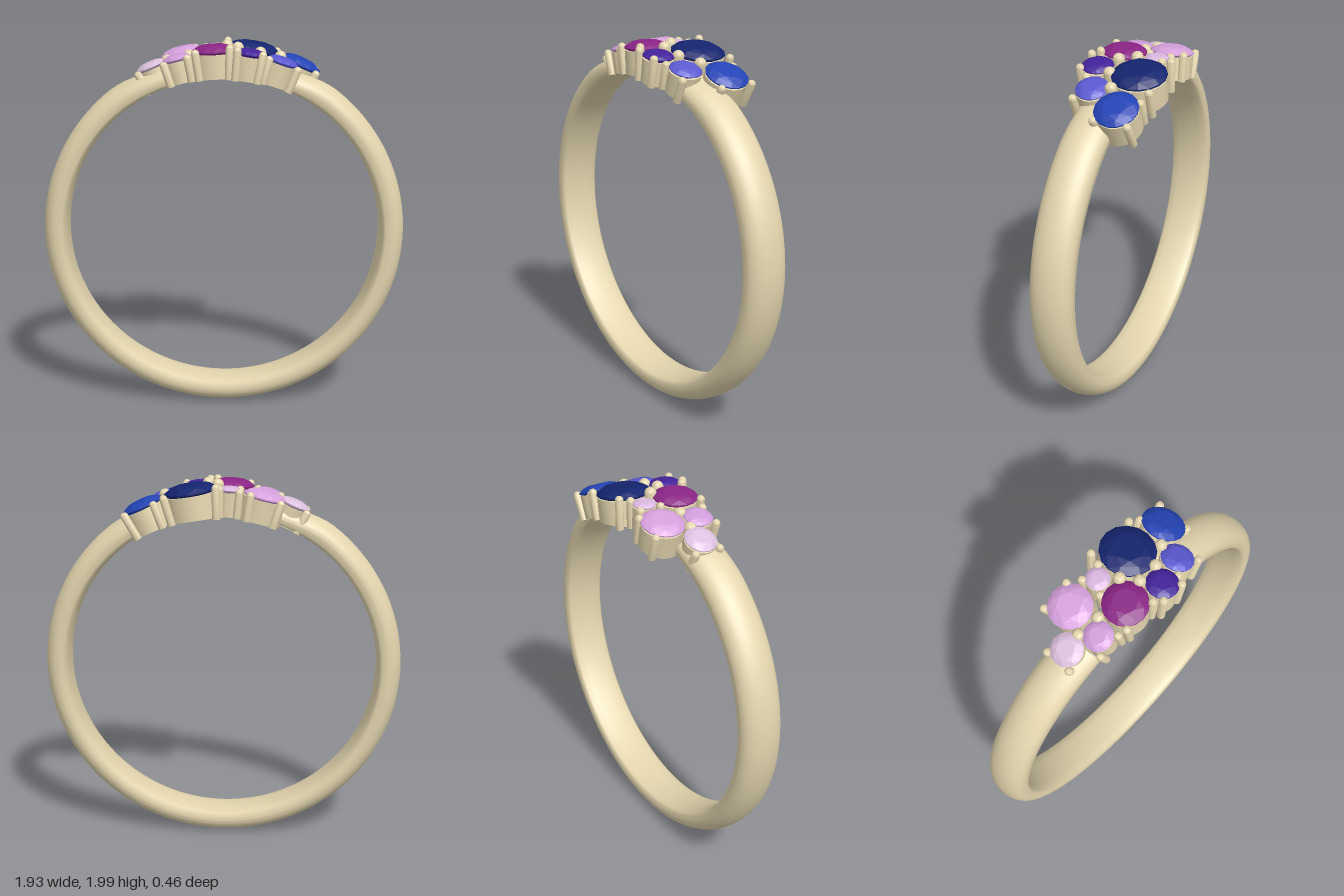
import * as THREE from 'three';
import { toCreasedNormals } from 'three/addons/utils/BufferGeometryUtils.js';
import { ConvexGeometry } from 'three/addons/geometries/ConvexGeometry.js';

const CENTRE_Y = 0.967; // height of the ring's axis
const INNER = 0.835;
const V = (x, y) => new THREE.Vector2(x, y);
const gold = new THREE.MeshStandardMaterial({ color: 0xe3d5ae, side: THREE.DoubleSide });

// x, z, radius, girdle distance from the axis, colour
const STONES = [
  [-0.23, -0.11, 0.111, 0.968, 0xd6a0dc],
  [-0.047, -0.102, 0.06, 0.975, 0xd9b6de],
  [0.16, -0.098, 0.14, 0.975, 0x14246e],
  [0.415, -0.093, 0.112, 0.975, 0x2443b4],
  [0.312, 0.085, 0.084, 0.968, 0x5a58cf],
  [0.145, 0.135, 0.082, 0.975, 0x43229a],
  [-0.052, 0.078, 0.114, 0.975, 0x8a2585],
  [-0.248, 0.085, 0.075, 0.965, 0xcf9cd9],
  [-0.385, 0.01, 0.083, 0.963, 0xdcc0de],
];

// x, z, tip distance from the axis
const PRONGS = [
  [-0.316, -0.202, 0.985], [-0.16, -0.2, 0.99], [-0.45, -0.06, 0.973], [-0.45, 0.08, 0.973],
  [-0.31, 0.153, 0.975], [-0.187, 0.153, 0.98], [-0.145, 0.17, 1.0], [0.035, 0.172, 1.015],
  [-0.1, -0.155, 0.99], [0.005, -0.15, 1.0], [-0.1, -0.04, 0.99],
  [0.02, -0.207, 1.015], [0.29, -0.207, 1.0], [0.345, -0.187, 0.985], [0.498, -0.187, 0.995],
  [0.493, -0.005, 0.99], [0.075, 0.203, 1.01], [0.207, 0.203, 1.005],
  [0.24, 0.153, 0.985], [0.388, 0.156, 0.98],
];

// Thicker prongs shared by neighbouring stones
const SHARED_PRONGS = [
  [-0.305, 0.005, 0.99], [-0.185, 0.022, 0.99], [0.02, -0.025, 1.02],
  [0.077, 0.052, 1.02], [0.197, 0.047, 1.01], [0.306, -0.012, 1.01],
];

// Turn a group so that its local y axis runs outward from the ring's axis
function seat(group, x, z, distance) {
  group.position.set(0, CENTRE_Y, z);
  group.rotation.z = -Math.asin(x / distance);
  return group;
}

function add(parent, name, geometry, material) {
  const mesh = new THREE.Mesh(geometry, material);
  mesh.name = name;
  parent.add(mesh);
}

// Domed band, open under the cluster and thinned towards it
function bandGeometry() {
  const points = [];
  for (let i = 0; i <= 16; i++) {
    const t = (i / 16 - 0.5) * Math.PI;
    points.push(V(0.89 + 0.077 * Math.cos(t), 0.113 * Math.sin(t)));
  }
  points.push(V(0.862, 0.113), V(0.848, 0.1), V(0.838, 0.06), V(INNER, 0),
    V(0.838, -0.06), V(0.848, -0.1), V(0.862, -0.113), points[0].clone());
  const half = THREE.MathUtils.degToRad(160);
  const geometry = new THREE.LatheGeometry(points, 128, -half, 2 * half).rotateX(Math.PI / 2);
  const p = geometry.attributes.position;
  for (let i = 0; i < p.count; i++) {
    const x = p.getX(i), y = p.getY(i), r = Math.hypot(x, y);
    const fromTop = THREE.MathUtils.radToDeg(Math.abs(Math.atan2(x, y)));
    const thickness = 0.75 + 0.25 * THREE.MathUtils.smoothstep(fromTop, 20, 38);
    const k = (INNER + (r - INNER) * thickness) / r;
    p.setXY(i, x * k, y * k);
  }
  return geometry;
}

// Round brilliant: octagonal table, crown, girdle and pointed pavilion
function stoneGeometry(r) {
  const points = [new THREE.Vector3(0, -0.6 * r, 0)];
  const ring = (n, radius, y, turn) => {
    for (let i = 0; i < n; i++) {
      const a = ((i + turn) / n) * Math.PI * 2;
      points.push(new THREE.Vector3(radius * Math.cos(a), y, radius * Math.sin(a)));
    }
  };
  ring(8, 0.55 * r, 0.27 * r, 0);
  ring(8, 0.8 * r, 0.185 * r, 0.5);
  ring(16, r, 0.03 * r, 0);
  ring(16, r, -0.03 * r, 0);
  return new ConvexGeometry(points);
}

// Pierced cup whose underside follows the inside of the ring
function cupGeometry(r, girdle) {
  const R = r * 0.98, hole = r * 0.42, bottom = 0.84, top = girdle - 0.012;
  const lathe = new THREE.LatheGeometry([V(hole, bottom), V(R, bottom), V(R, top),
    V(R * 0.9, top), V(hole, top - 0.06), V(hole, bottom)], 40);
  const p = lathe.attributes.position;
  for (let i = 0; i < p.count; i++) {
    if (p.getY(i) < bottom + 1e-4) p.setY(i, Math.sqrt(bottom ** 2 - p.getX(i) ** 2));
  }
  return toCreasedNormals(lathe, 0.6);
}

// Round post with a domed tip
function postGeometry(r, bottom, tip) {
  const points = [V(0, bottom), V(r, bottom)];
  for (let i = 0; i <= 6; i++) {
    const a = (i / 6) * Math.PI / 2;
    points.push(V(r * Math.cos(a), tip - r + r * Math.sin(a)));
  }
  return toCreasedNormals(new THREE.LatheGeometry(points, 16), 0.7);
}

export function createModel() {
  const model = new THREE.Group();
  model.name = 'clusterRing';

  const band = new THREE.Group();
  band.name = 'band';
  band.position.set(0, CENTRE_Y, 0.03);
  add(band, 'bandHoop', bandGeometry(), gold);
  model.add(band);

  // Stones in their cups
  for (const [x, z, r, girdle, color] of STONES) {
    const setting = seat(new THREE.Group(), x, z, girdle + 0.015);
    setting.name = 'stoneSetting';
    add(setting, 'cup', cupGeometry(r, girdle), gold);
    const material = new THREE.MeshStandardMaterial({ color, flatShading: true });
    add(setting, 'stone', stoneGeometry(r).translate(0, girdle, 0), material);
    model.add(setting);
  }

  // Slim outer prongs
  for (const [x, z, tip] of PRONGS) {
    const prong = seat(new THREE.Group(), x, z, tip);
    prong.name = 'prong';
    add(prong, 'prongPost', postGeometry(0.021, 0.838, tip), gold);
    model.add(prong);
  }

  // Shared prongs, each on a wider foot that closes the gap between cups
  for (const [x, z, tip] of SHARED_PRONGS) {
    const prong = seat(new THREE.Group(), x, z, tip);
    prong.name = 'sharedProng';
    add(prong, 'prongPost', postGeometry(0.031, 0.85, tip), gold);
    add(prong, 'prongFoot', postGeometry(0.045, 0.84, 0.935), gold);
    model.add(prong);
  }
  return model;
}
